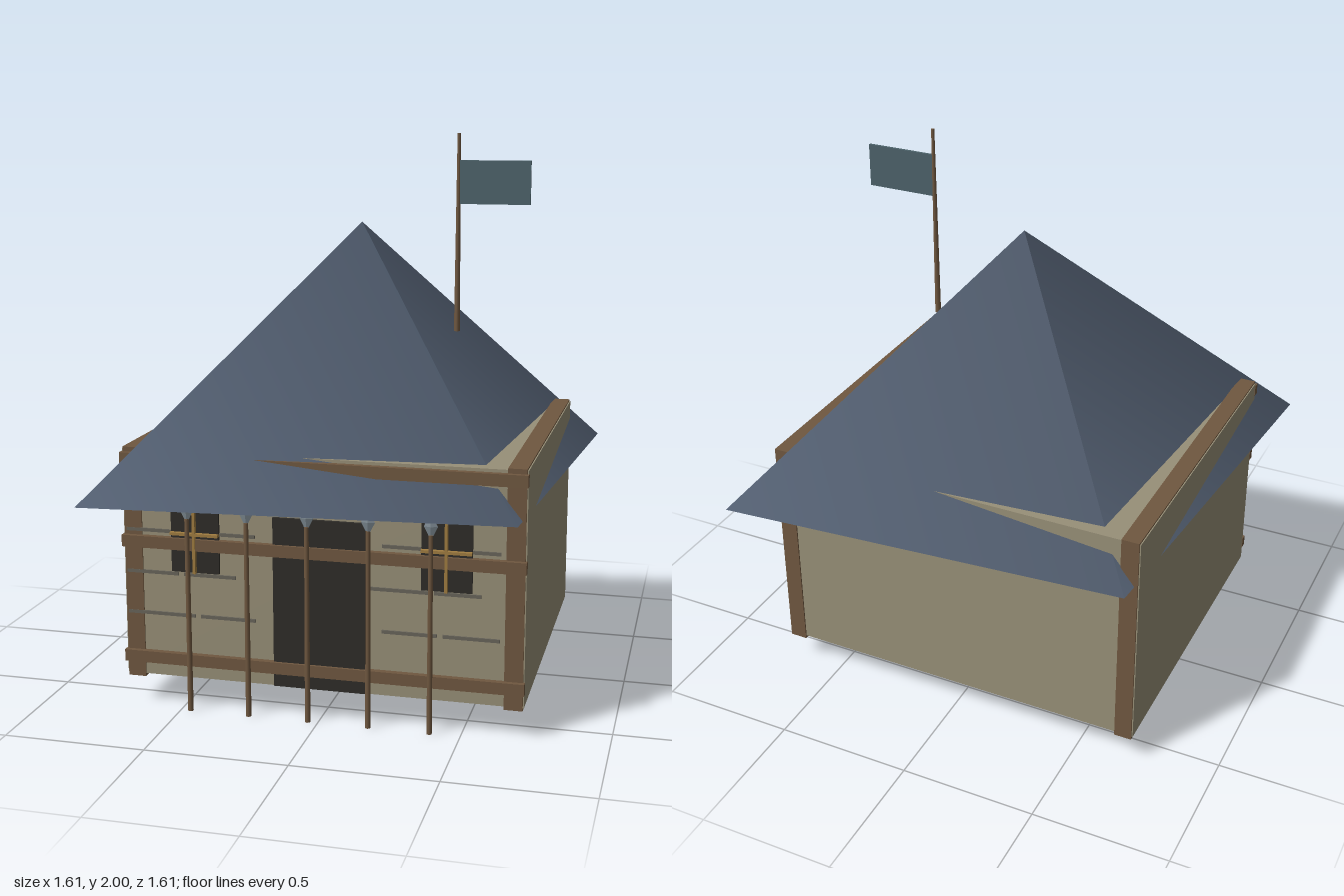
import * as THREE from 'three';

const mat = (color) => new THREE.MeshStandardMaterial({ color });

export function createModel() {
  const model = new THREE.Group();
  const plaster = mat(0x989078), timber = mat(0x705840), slate = mat(0x505c6e);
  const dark = mat(0x2e2c28), gold = mat(0xa07c40), groove = mat(0x68645a);
  const steel = mat(0x7c8890), cloth = mat(0x4c626a);

  const add = (name, geometry, material, x, y, z) => {
    const mesh = new THREE.Mesh(geometry, material);
    mesh.name = name;
    mesh.position.set(x, y, z);
    model.add(mesh);
    return mesh;
  };
  // box given by its limits on each axis
  const box = (name, material, x0, x1, y0, y1, z0, z1) =>
    add(name, new THREE.BoxGeometry(x1 - x0, y1 - y0, z1 - z0), material,
      (x0 + x1) / 2, (y0 + y1) / 2, (z0 + z1) / 2);

  // walls and the deep timber frames set into both sides
  box('walls', plaster, -0.71, 0.71, 0.11, 0.93, -0.61, 0.61);
  for (const s of [-1, 1]) {
    const frame = box('sideFrame', timber, 0.642, 0.706, 0.1, 0.936, -0.615, 0.615);
    frame.position.x *= s;
  }

  // horizontal beams across the front
  for (const y of [0.18, 0.602, 0.898])
    box('frontBeam', timber, -0.712, 0.712, y - 0.021, y + 0.021, 0.605, 0.632);

  // door
  box('door', dark, -0.163, 0.163, 0.112, 0.718, 0.6, 0.622);

  // windows with crossed glazing bars
  for (const x of [-0.445, 0.443]) {
    box('windowPane', dark, x - 0.087, x + 0.087, 0.5, 0.78, 0.6, 0.62);
    box('windowUpright', gold, x - 0.005, x + 0.005, 0.5, 0.78, 0.615, 0.636);
    box('windowCrossbar', gold, x - 0.087, x + 0.087, 0.635, 0.645, 0.615, 0.636);
  }

  // short plank seams on the front wall
  const wide = [[-0.7, -0.45], [-0.43, -0.23], [0.22, 0.41], [0.43, 0.625]];
  const narrow = [[-0.7, -0.51], [-0.49, -0.3], [0.16, 0.38], [0.4, 0.56]];
  for (const [y, seams] of [[0.34, wide], [0.49, narrow], [0.642, wide]])
    for (const [x0, x1] of seams)
      box('plankSeam', groove, x0, x1, y - 0.006, y + 0.006, 0.605, 0.616);

  // row of spears standing before the front wall
  for (let i = 0; i < 5; i++) {
    const x = -0.465 + i * 0.2145;
    add('spearShaft', new THREE.CylinderGeometry(0.008, 0.01, 0.7, 6), timber, x, 0.35, 0.643);
    add('spearHead', new THREE.OctahedronGeometry(1), steel, x, 0.73, 0.643)
      .scale.set(0.024, 0.048, 0.008);
  }

  // four-sided roof, stretched along one diagonal
  const roof = add('roof', new THREE.ConeGeometry(1, 0.92, 4), slate, 0, 1.22, 0);
  roof.scale.set(1.14, 1, 0.973);
  roof.rotation.y = Math.PI / 4;

  // flag on its pole
  add('flagPole', new THREE.CylinderGeometry(0.006, 0.011, 0.71, 8), timber, 0.355, 1.645, 0);
  box('flag', cloth, 0.358, 0.615, 1.75, 1.905, -0.005, 0.005);

  return model;
}
